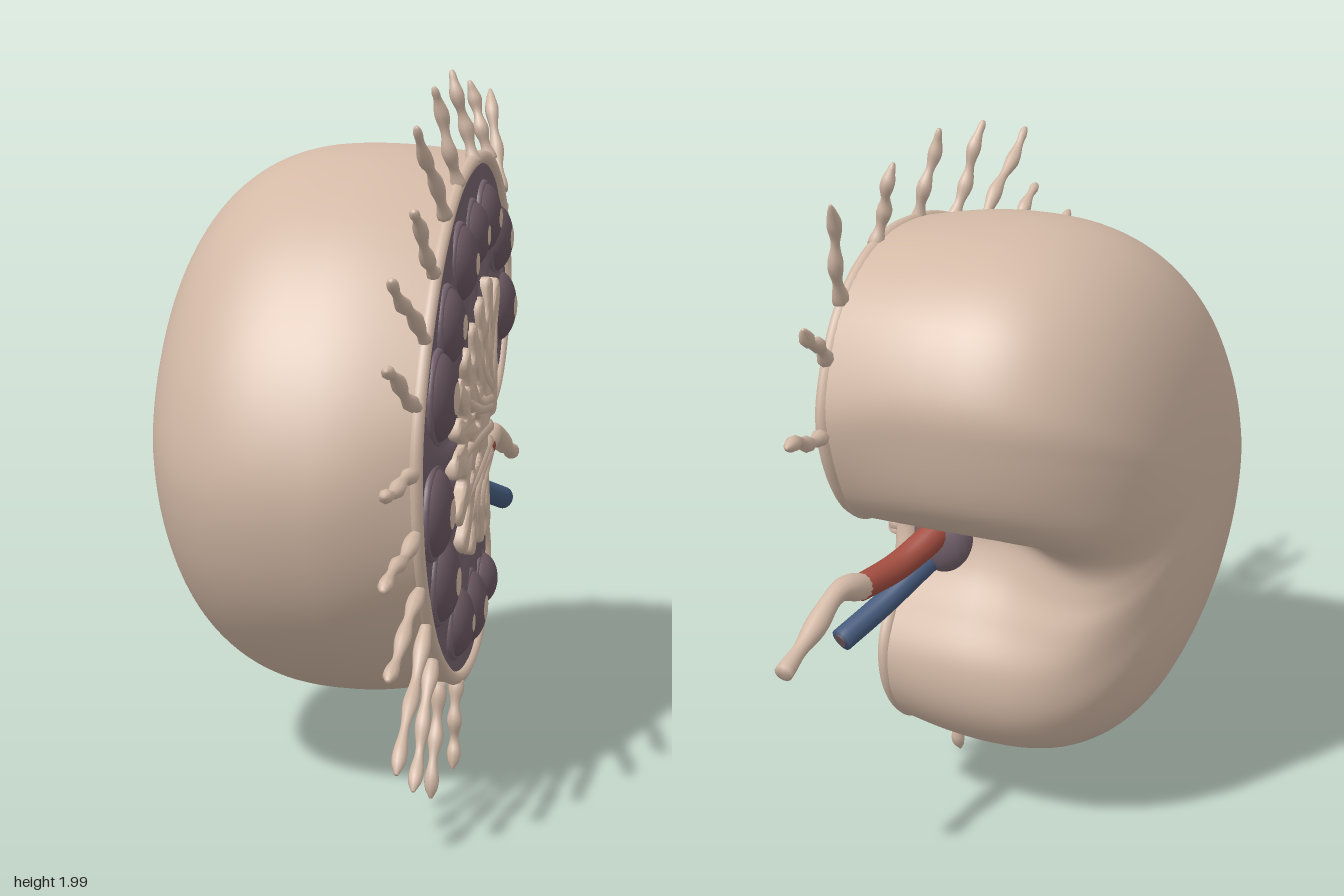
import * as THREE from 'three';
import { toCreasedNormals } from 'three/addons/utils/BufferGeometryUtils.js';

const mat = (name, color, side = THREE.FrontSide) => {
  const m = new THREE.MeshStandardMaterial({ color, side });
  m.name = name;
  return m;
};

// Local frame: (across, up, height above the cut); the group is turned so height points to +x.
const CUT = [[.70, 1.40], [.69, 1.24], [.60, 1.06], [.47, .98], [.31, .975], [.23, .915], [.25, .80], [.34, .68],
  [.41, .545], [.38, .40], [.26, .28], [.05, .25], [-.19, .32], [-.40, .475], [-.56, .70], [-.62, .915],
  [-.61, 1.13], [-.51, 1.34], [-.35, 1.535], [-.14, 1.68], [.13, 1.75], [.39, 1.735], [.59, 1.61]];
const WIDE = [[.71, 1.44], [.705, 1.29], [.64, 1.10], [.51, .99], [.36, .97], [.28, .91], [.30, .80], [.37, .68],
  [.434, .545], [.41, .386], [.286, .254], [.074, .206], [-.19, .27], [-.43, .41], [-.61, .62], [-.70, .86],
  [-.69, 1.07], [-.59, 1.31], [-.40, 1.55], [-.16, 1.71], [.10, 1.78], [.39, 1.755], [.60, 1.63]];
// Outline of the far side, where the notch has become shallow
const BACK = WIDE.map(p => [...p]);
[[.66, 1.13], [.61, 1.01], [.55, .91], [.515, .83], [.505, .75], [.50, .655], [.465, .535]].forEach((p, i) => { BACK[i + 2] = p; });
// Fingered outline of the pelvis
const PELVIS = [[.345, .99], [.35, 1.13], [.335, 1.22], [.375, 1.33], [.345, 1.385], [.29, 1.325], [.26, 1.31], [.25, 1.39],
  [.195, 1.395], [.185, 1.305], [.15, 1.29], [.11, 1.36], [.06, 1.33], [.08, 1.245], [.035, 1.265], [.005, 1.30],
  [-.035, 1.28], [-.02, 1.21], [-.055, 1.195], [-.095, 1.245], [-.125, 1.20], [-.085, 1.135], [-.14, 1.14], [-.19, 1.175],
  [-.21, 1.115], [-.14, 1.07], [-.13, 1.045], [-.20, 1.065], [-.22, 1.015], [-.16, .985], [-.24, .97], [-.25, .905],
  [-.14, .89], [-.125, .86], [-.20, .805], [-.17, .755], [-.08, .805], [-.075, .775], [-.135, .705], [-.095, .66],
  [-.02, .735], [.005, .725], [-.015, .65], [.03, .63], [.07, .715], [.092, .705], [.12, .645], [.165, .635],
  [.17, .705], [.20, .695], [.215, .635], [.265, .665], [.255, .745], [.23, .835], [.21, .915], [.235, .98]];

const closedCurve = pts => new THREE.CatmullRomCurve3(pts.map(([a, b]) => new THREE.Vector3(a, b, 0)), true, 'catmullrom');
const cutCurve = closedCurve(CUT), wideCurve = closedCurve(WIDE), backCurve = closedCurve(BACK);

// Smooth surface through closed rings; point(i, j) gives each vertex
function loft(rings, sides, point) {
  const pos = [], idx = [];
  for (let i = 0; i <= rings; i++) {
    for (let j = 0; j < sides; j++) {
      const p = point(i / rings, j / sides);
      pos.push(p.x, p.y, p.z);
      if (i === rings) continue;
      const a = i * sides + j, b = i * sides + (j + 1) % sides;
      idx.push(a, b, a + sides, b, b + sides, a + sides);
    }
  }
  const g = new THREE.BufferGeometry();
  g.setAttribute('position', new THREE.Float32BufferAttribute(pos, 3));
  g.setIndex(idx);
  g.computeVertexNormals();
  return g;
}

// Tube with a changing radius and closed ends
function limb(points, radius, rings = 20, sides = 10) {
  const curve = new THREE.CatmullRomCurve3(points.map(p => new THREE.Vector3(...p)));
  const f = curve.computeFrenetFrames(rings, false);
  return loft(rings + 2, sides, (s, v) => {
    const i = Math.round(s * (rings + 2));
    const k = Math.min(Math.max(i - 1, 0), rings), t = k / rings;
    const r = i === 0 || i === rings + 2 ? 0 : radius(t), a = v * Math.PI * 2;
    return curve.getPointAt(t).addScaledVector(f.normals[k], r * Math.cos(a)).addScaledVector(f.binormals[k], r * Math.sin(a));
  });
}

export function createModel() {
  const model = new THREE.Group();
  model.name = 'kidneySection';
  const organ = new THREE.Group();
  organ.name = 'organ';
  organ.rotation.y = Math.PI / 2;
  organ.position.x = 0.38;
  model.add(organ);

  const beige = mat('beige tissue', 0xd3b9a6, THREE.DoubleSide);
  const purple = mat('purple cortex', 0x74616c);
  const dark = mat('dark purple lobes', 0x69565f);
  const red = mat('artery red', 0xa24d40);
  const blue = mat('vein blue', 0x455a7c);
  const add = (name, geo, m, parent = organ) => {
    const mesh = new THREE.Mesh(geo, m);
    mesh.name = name;
    parent.add(mesh);
    return mesh;
  };

  // Outer capsule: cut outline swells to the widest section, then rounds off at the back
  const centre = new THREE.Vector3(-.02, 1.06, 0);
  add('capsule', loft(44, 138, (s, v) => {
    const c = cutCurve.getPoint(v), w = wideCurve.getPoint(v);
    if (s < .25) {
      const t = s / .25;
      c.lerp(w, Math.sin(t * Math.PI / 2));
      c.z = -.28 * t;
      return c;
    }
    const a = (s - .25) / .75 * Math.PI / 2;
    const depth = Math.pow(Math.sin(a), 2 / 2.6), size = Math.pow(Math.max(Math.cos(a), 0), 2 / 2.6);
    w.lerp(backCurve.getPoint(v), THREE.MathUtils.smoothstep(depth, 0, .9)).sub(centre).multiplyScalar(size).add(centre);
    w.z = -.28 - .55 * depth;
    return w;
  }), beige);

  // Rim around the cut, with a thicker lip at the notch
  const inset = CUT.map(([a, b]) => [a + (a > -.02 ? -.01 : .01), b + (b > 1.06 ? -.01 : .01)]);
  add('rim', new THREE.TubeGeometry(closedCurve(inset), 180, .02, 8, true), beige);
  add('notchLip', limb([[.37, .965, -.01], [.29, .955, -.01], [.25, .91, -.01], [.262, .81, -.01], [.33, .70, -.01]],
    t => .014 + .024 * Math.sin(Math.PI * t), 30, 14), beige);

  // Cut cortex with radial folds
  const hub = new THREE.Vector3(.04, 1.02, 0);
  add('cortex', loft(18, 184, (s, v) => {
    const p = hub.clone().lerp(cutCurve.getPoint(v), s * .975);
    const fade = Math.sin(Math.PI * s);
    p.z = .002 + fade * (.013 + .011 * Math.sin(v * Math.PI * 2 * 23 + 2 * Math.sin(s * 5)));
    return p;
  }), purple);

  // Domed lobes (across, up, radius, spot radius), each with a fold around it
  const lobes = [[.53, 1.275, .10, .03], [.45, 1.49, .095, .028], [.25, 1.57, .095, .026], [.065, 1.54, .09, .026],
    [-.105, 1.48, .10, .028], [-.275, 1.33, .10, .032], [-.38, 1.155, .115, .041], [-.42, .85, .115, .038],
    [-.325, .64, .11, .036], [-.10, .46, .095, .023], [.10, .45, .10, .033], [.27, .49, .075, 0]];
  lobes.forEach(([u, y, r, spotRadius], i) => {
    const lobe = new THREE.Group();
    lobe.name = 'lobe' + (i + 1);
    lobe.position.set(u, y, .008);
    lobe.scale.set(r, r * 1.06, .055);
    organ.add(lobe);
    const dome = new THREE.SphereGeometry(1, 28, 12, 0, Math.PI * 2, 0, Math.PI / 2).rotateX(Math.PI / 2);
    add('dome', dome, dark, lobe);
    add('fold', new THREE.TorusGeometry(1, .1, 8, 28).scale(1, 1, 2.2), purple, lobe);
    if (spotRadius) {
      const spot = new THREE.SphereGeometry(1.03, 16, 4, 0, Math.PI * 2, 0, Math.asin(spotRadius / r)).rotateX(Math.PI / 2);
      add('spot', spot, beige, lobe);
    }
  });
  add('smallSpot', new THREE.CylinderGeometry(.014, .014, .008, 12).rotateX(Math.PI / 2), beige).position.set(.40, 1.11, .028);

  // Pelvis: a flat fingered web with slots between its branches (centre, half length, half width, angle)
  const web = new THREE.Shape(closedCurve(PELVIS).getPoints(224).slice(0, -1).map(p => new THREE.Vector2(p.x, p.y)));
  const slots = [[.13, 1.19, .04, .019, 1.9], [.235, 1.22, .035, .014, 1.6], [.04, 1.13, .04, .018, 2.3], [-.04, 1.065, .038, .015, 2.7],
    [.04, 1.015, .042, .014, 2.8], [-.07, .965, .038, .014, 3.1], [.05, .90, .042, .015, .3], [-.04, .87, .03, .013, .4],
    [.03, .80, .035, .015, .75], [.12, .79, .036, .014, 1.1], [.19, .78, .032, .012, 1.45], [.14, 1.07, .036, .013, 2]];
  slots.forEach(([u, y, a, b, turn]) => web.holes.push(new THREE.Path().absellipse(u, y, a, b, 0, Math.PI * 2, true, turn)));
  const webGeo = new THREE.ExtrudeGeometry(web, { depth: .016, bevelSize: .01, bevelThickness: .012, bevelOffset: -.01, bevelSegments: 3, curveSegments: 16 });
  add('pelvis', toCreasedNormals(webGeo, .9), beige).position.z = .014;

  // Raised ridges running from the pelvis trunk into its fingers
  const ridges = [[.29, 1.18, .34, 1.35], [.2, 1.2, .225, 1.36], [.1, 1.17, .09, 1.32], [.06, 1.07, -.085, 1.2],
    [.04, 1.05, -.18, 1.13], [.04, .955, -.21, .935], [.05, .85, -.16, .785], [.07, .82, -.1, .69], [.09, .83, .02, .66], [.15, .8, .14, .66]];
  ridges.forEach(([a, b, c, d], i) => add('pelvisRidge' + (i + 1),
    limb([[.265, .97 + (d - .98) * .3, .025], [a, b, .028], [c, d, .022]], t => .024 - .007 * t), beige));

  // Opening in the notch, with the vessels leaving it
  const opening = add('hilumOpening', new THREE.SphereGeometry(1, 24, 16), purple);
  opening.scale.set(.07, .105, .09);
  opening.position.set(.275, .87, -.135);
  add('artery', limb([[.22, .93, -.15], [.32, .895, -.13], [.45, .84, -.08], [.61, .825, -.04]], t => .045 - .008 * t, 20, 16), red);
  add('ureter', limb([[.59, .825, -.045], [.70, .85, -.03], [.83, .785, -.02], [.985, .73, -.02]],
    t => .036 - .014 * t + .004 * Math.sin(t * 14), 24, 14), beige);
  add('vein', limb([[.22, .84, -.13], [.34, .79, -.09], [.47, .72, -.035], [.61, .66, .02]], () => .034, 16, 16), blue);
  const lumen = add('veinLumen', new THREE.CylinderGeometry(.02, .02, .006, 16), dark);
  lumen.position.set(.612, .659, .021);
  lumen.quaternion.setFromUnitVectors(new THREE.Vector3(0, 1, 0), new THREE.Vector3(.14, -.06, .055).normalize());

  // Beaded small vessels around the rim: root, then tip
  const sprigs = [[.71, 1.29, .985, 1.355], [.67, 1.49, .88, 1.635], [.58, 1.635, .72, 1.915], [.375, 1.74, .38, 1.955],
    [.127, 1.75, .11, 1.995], [-.10, 1.71, -.20, 1.96], [-.285, 1.64, -.54, 1.875], [-.42, 1.50, -.66, 1.675],
    [-.535, 1.34, -.915, 1.535], [-.60, 1.17, -.965, 1.325], [-.62, .995, -.98, 1.02], [-.61, .835, -.985, .785],
    [-.56, .665, -.925, .54], [-.485, .535, -.82, .26], [-.385, .41, -.615, .14], [-.285, .32, -.38, .035], [-.025, .25, -.07, .01]];
  sprigs.forEach(([u, y, tu, ty], i) => {
    const lean = -.06 * Math.min(1, Math.max(0, tu + ty - 1));
    const len = Math.hypot(tu - u, ty - y), nx = -(ty - y) / len, ny = (tu - u) / len;
    const at = (t, side) => [u + (tu - u) * t + nx * side, y + (ty - y) * t + ny * side, lean * t];
    const bend = i % 2 ? .009 : -.009;
    add('sprig' + (i + 1), limb([at(-.06, 0), at(.35, bend), at(.7, -bend), at(1, 0)],
      t => (.0195 - .004 * t + .0045 * Math.sin(t * 17 + i * .4)) * Math.sqrt(Math.min(1, .15 + (1 - t) * 12)), 30, 8), beige);
  });

  return model;
}
